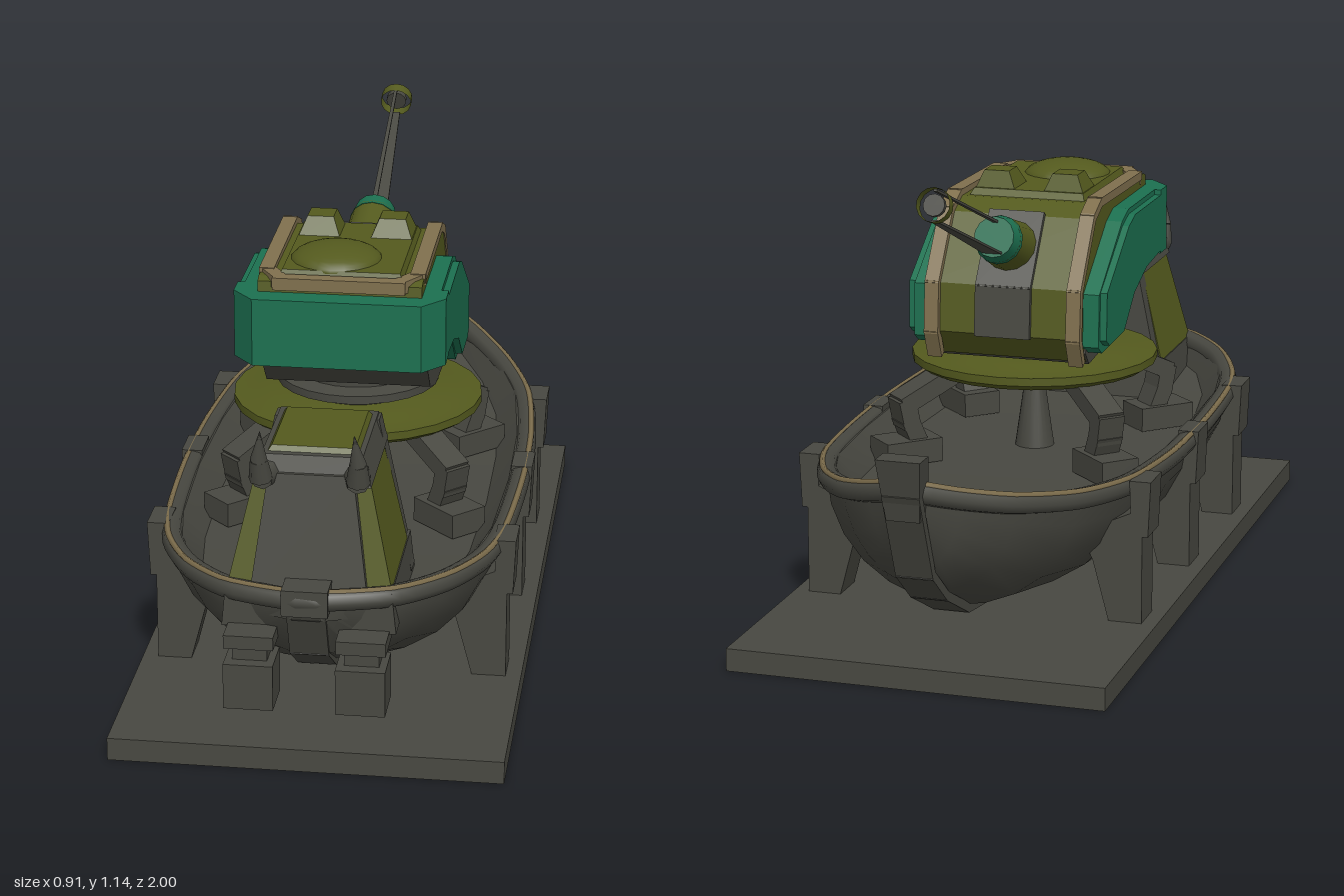
import * as THREE from 'three';
import { toCreasedNormals } from 'three/addons/utils/BufferGeometryUtils.js';

export function createModel() {
  const root = new THREE.Group();
  root.name = 'gunBoat';
  const material = (name, color) => {
    const m = new THREE.MeshStandardMaterial({ color, side: THREE.DoubleSide });
    m.name = name;
    return m;
  };
  const grey = material('dark grey', 0x484841);
  const olive = material('olive', 0x545a1e);
  const green = material('teal green', 0x1c7050);
  const tan = material('tan', 0x80704e);
  const V = (x, y, z) => new THREE.Vector3(x, y, z);

  const add = (name, geo, mat) => {
    const m = new THREE.Mesh(geo, mat);
    m.name = name;
    root.add(m);
    return m;
  };
  // box given by its limits
  const box = (name, mat, x0, x1, y0, y1, z0, z1) =>
    add(name, new THREE.BoxGeometry(x1 - x0, y1 - y0, z1 - z0), mat)
      .position.set((x0 + x1) / 2, (y0 + y1) / 2, (z0 + z1) / 2);
  // box with different bottom and top rectangles [halfWidth, z0, z1]
  const taperBox = (name, mat, y0, bottom, y1, top, cx = 0) => {
    const g = new THREE.BoxGeometry(1, 1, 1), p = g.attributes.position;
    for (let i = 0; i < p.count; i++) {
      const up = p.getY(i) > 0, r = up ? top : bottom;
      p.setXYZ(i, cx + 2 * p.getX(i) * r[0], up ? y1 : y0, p.getZ(i) > 0 ? r[2] : r[1]);
    }
    g.computeVertexNormals();
    return add(name, g, mat);
  };
  // rectangular bar between two points
  const beam = (name, mat, a, b, w, h) => {
    const m = add(name, new THREE.BoxGeometry(w, h, a.distanceTo(b) + h * 0.5), mat);
    m.position.copy(a).lerp(b, 0.5);
    m.lookAt(b);
    return m;
  };
  const bars = (name, mat, pts, w, h) => {
    for (let i = 1; i < pts.length; i++) beam(name, mat, pts[i - 1], pts[i], w, h);
  };
  // round bar between two points
  const rod = (name, mat, a, b, ra, rb, sides = 12, open = false) => {
    const m = add(name, new THREE.CylinderGeometry(rb, ra, a.distanceTo(b), sides, 1, open), mat);
    m.position.copy(a).lerp(b, 0.5);
    m.quaternion.setFromUnitVectors(V(0, 1, 0), b.clone().sub(a).normalize());
    return m;
  };
  const shapeOf = (pts) => new THREE.Shape(pts.map((p) => new THREE.Vector2(p[0], p[1])));
  // side profile of [z, y] points pushed from x0 to x1
  const profileX = (name, mat, pts, x0, x1) => {
    const g = new THREE.ExtrudeGeometry(shapeOf(pts), { depth: x1 - x0, bevelEnabled: false });
    return add(name, g.rotateY(-Math.PI / 2).translate(x1, 0, 0), mat);
  };

  // ---- base and cradle legs
  box('basePlate', grey, -0.457, 0.457, 0, 0.055, -0.91, 1);
  for (const z of [0.51, 0.05, -0.41]) for (const s of [1, -1]) {
    const leg = shapeOf([[0.42, 0.05], [0.34, 0.05], [0.3, 0.2], [0.27, 0.27], [0.4, 0.33], [0.42, 0.33]]
      .map(([x, y]) => [x * s, y]));
    add('cradleLeg', new THREE.ExtrudeGeometry(leg, { depth: 0.1, bevelEnabled: false }), grey).position.z = z - 0.05;
    const cap = taperBox('cradleClamp', grey, 0.27, [0.02, z - 0.05, z + 0.05], 0.405, [0.026, z - 0.05, z + 0.05], 0.414 * s);
    cap.name = 'cradleClamp';
  }

  // ---- hull from cross-sections [z, half width, rim height, keel height]
  const stations = [
    [-0.95, 0.02, 0.5, 0.42], [-0.88, 0.11, 0.47, 0.28], [-0.78, 0.21, 0.44, 0.2], [-0.62, 0.31, 0.412, 0.115],
    [-0.42, 0.38, 0.397, 0.085], [-0.15, 0.41, 0.39, 0.075], [0.15, 0.415, 0.39, 0.072], [0.45, 0.4, 0.39, 0.08],
    [0.62, 0.37, 0.395, 0.105], [0.78, 0.3, 0.408, 0.18], [0.9, 0.19, 0.418, 0.25], [0.96, 0.04, 0.425, 0.37],
  ];
  const pos = [], idx = [], N = 12;
  const ringSize = N + 5;
  stations.forEach(([z, w, r, k], i) => {
    for (let j = 0; j <= N; j++) {
      const t = Math.PI * j / N;
      pos.push(w * Math.cos(t), r - (r - k) * Math.sin(t), z);
    }
    for (const [f, d] of [[-0.93, 0], [-0.8, 0.065], [0.8, 0.065], [0.93, 0]]) pos.push(f * w, r - d, z);
    if (i) for (let j = 0; j < ringSize; j++) {
      const a = (i - 1) * ringSize + j, b = (i - 1) * ringSize + (j + 1) % ringSize;
      idx.push(a, a + ringSize, b, b, a + ringSize, b + ringSize);
    }
  });
  const hull = new THREE.BufferGeometry();
  hull.setAttribute('position', new THREE.Float32BufferAttribute(pos, 3));
  hull.setIndex(idx);
  add('hull', toCreasedNormals(hull, 0.6), grey);

  // rim with its thin tan rope
  const rimCurve = (grow, lift) => new THREE.CatmullRomCurve3([
    ...stations.map(([z, w, r]) => V(w + grow, r + lift, z)),
    ...stations.slice().reverse().map(([z, w, r]) => V(-w - grow, r + lift, z)),
  ], true, 'catmullrom', 0.4);
  add('rim', new THREE.TubeGeometry(rimCurve(-0.006, -0.012), 120, 0.026, 8, true), grey);
  add('rimRope', new THREE.TubeGeometry(rimCurve(0.006, 0.008), 120, 0.008, 5, true), tan);

  // keel and end posts
  bars('keel', grey, [[0.48, -0.97], [0.27, -0.88], [0.19, -0.78], [0.11, -0.62], [0.083, -0.42], [0.075, 0.1],
    [0.085, 0.45], [0.105, 0.62], [0.18, 0.78], [0.26, 0.9], [0.41, 0.965]].map(([y, z]) => V(0, y, z)), 0.09, 0.022);
  taperBox('bowPost', grey, 0.42, [0.04, -0.965, -0.9], 0.57, [0.053, -1, -0.94]);
  box('sternPost', grey, -0.053, 0.053, 0.38, 0.443, 0.91, 0.985);

  // ---- stern engines
  for (const s of [1, -1]) {
    const x = 0.128 * s;
    box('engineBox', grey, x - 0.057, x + 0.057, 0.15, 0.26, 0.89, 1);
    box('engineNeck', grey, x - 0.04, x + 0.04, 0.255, 0.3, 0.89, 0.97);
    box('engineBracket', grey, x - 0.057, x + 0.057, 0.295, 0.327, 0.82, 0.99);
    rod('propellerShaft', grey, V(x, 0.18, 0.9), V(x, 0.18, 0.83), 0.018, 0.012);
    for (let i = 0; i < 3; i++) {
      const a = i * Math.PI * 2 / 3 + 0.5;
      beam('propellerBlade', grey, V(x, 0.18, 0.85), V(x + 0.045 * Math.cos(a), 0.18 + 0.045 * Math.sin(a), 0.85), 0.02, 0.008);
    }
  }

  // ---- wheelhouse
  taperBox('cabinFooting', grey, 0.32, [0.2, 0.55, 0.92], 0.42, [0.19, 0.555, 0.92]);
  taperBox('cabinSides', olive, 0.4, [0.192, 0.6, 0.905], 0.68, [0.128, 0.6, 0.845]);
  taperBox('cabinFrame', grey, 0.34, [0.2, 0.555, 0.615], 0.715, [0.122, 0.56, 0.61]);
  taperBox('cabinFace', grey, 0.4, [0.135, 0.85, 0.922], 0.68, [0.097, 0.8, 0.872]);
  taperBox('roofFrame', grey, 0.655, [0.137, 0.56, 0.872], 0.718, [0.115, 0.56, 0.85]);
  taperBox('roofPanel', olive, 0.715, [0.105, 0.58, 0.835], 0.73, [0.095, 0.59, 0.825]);
  for (const s of [1, -1]) {
    const pts = [V(0.1 * s, 0.675, 0.84), V(0.11 * s, 0.675, 0.89), V(0.112 * s, 0.725, 0.905), V(0.106 * s, 0.8, 0.925)];
    const radii = [0.032, 0.028, 0.02, 0.001];
    for (let i = 0; i < 3; i++) rod('cabinHorn', grey, pts[i], pts[i + 1], radii[i], radii[i + 1], 8);
  }

  // ---- turntable on four bent struts
  const cz = 0.055;
  const lathe = (name, mat, pts) => add(name, toCreasedNormals(new THREE.LatheGeometry(
    pts.map(([r, y]) => new THREE.Vector2(r, y)), 24), 0.6), mat).position.z = cz;
  lathe('turntable', olive, [[0, 0.525], [0.2, 0.525], [0.285, 0.54], [0.308, 0.555], [0.308, 0.575], [0.25, 0.577], [0.22, 0.585], [0, 0.585]]);
  lathe('turntableNeck', grey, [[0.14, 0.58], [0.14, 0.605], [0.2, 0.61], [0.2, 0.63], [0.15, 0.635], [0.15, 0.66], [0, 0.66]]);
  lathe('centrePost', grey, [[0.05, 0.32], [0.02, 0.53]]);
  for (const sx of [1, -1]) for (const sz of [1, -1]) {
    const at = (r, y) => V(sx * r * 0.71, y, cz + sz * r * 0.7);
    bars('turretStrut', grey, [at(0.24, 0.54), at(0.37, 0.48), at(0.36, 0.43), at(0.33, 0.36)], 0.07, 0.045);
    const foot = add('strutFoot', new THREE.BoxGeometry(0.1, 0.06, 0.15), grey);
    foot.position.copy(at(0.36, 0.36));
    foot.rotation.y = sx * sz * Math.PI / 4;
  }

  // ---- turret
  profileX('turretBody', olive, [[0.39, 0.965], [0.41, 0.8], [0.3, 0.755], [0.2, 0.73], [0.1, 0.64], [-0.16, 0.605],
    [-0.212, 0.67], [-0.203, 0.79], [-0.09, 0.945], [-0.03, 0.972], [0.37, 0.972]], -0.195, 0.195);
  profileX('turretUnderbody', grey, [[0.34, 0.765], [0.24, 0.66], [0.12, 0.62], [-0.15, 0.598], [-0.18, 0.63], [-0.16, 0.75]], -0.2, 0.2);
  const front = [[0.61, -0.19], [0.67, -0.217], [0.79, -0.208], [0.95, -0.093], [0.977, -0.03]];
  for (const s of [1, -1]) {
    bars('trimBand', tan, [...front, [0.972, 0.34]].map(([y, z]) => V(0.18 * s, y, z)), 0.036, 0.022);
    beam('trimBand', tan, V(0.18 * s, 0.966, 0.33), V(0.14 * s, 0.966, 0.395), 0.034, 0.03);
    // green side armour with a sloped outer face
    const side = [[0.4, 0.785], [0.4, 0.94], [0.08, 0.94], [0.02, 0.92], [-0.185, 0.78], [-0.19, 0.65], [-0.16, 0.63],
      [-0.02, 0.635], [0.08, 0.72], [0.2, 0.765]];
    profileX('sideArmour', green, side, s > 0 ? 0.19 : -0.235, s > 0 ? 0.235 : -0.19);
    profileX('sideArmourFace', green, side.map(([z, y]) => [0.1 + (z - 0.1) * 0.96, 0.81 + (y - 0.81) * 0.9]),
      s > 0 ? 0.23 : -0.252, s > 0 ? 0.252 : -0.23);
  }
  beam('trimBand', tan, V(-0.15, 0.966, 0.395), V(0.15, 0.966, 0.395), 0.034, 0.03);
  const rear = shapeOf([[-0.252, 0.33], [-0.252, 0.39], [-0.2, 0.452], [0.2, 0.452], [0.252, 0.39], [0.252, 0.33]]);
  add('rearArmour', new THREE.ExtrudeGeometry(rear, { depth: 0.165, bevelEnabled: false })
    .rotateX(Math.PI / 2).translate(0, 0.94, 0), green);
  bars('frontPanel', grey, front.slice(1, 4).map(([y, z]) => V(0, y, z)), 0.14, 0.016);

  // roof hatches and cupola
  taperBox('turretRoof', olive, 0.965, [0.15, -0.02, 0.375], 0.988, [0.14, 0, 0.365]);
  for (const s of [1, -1]) taperBox('roofHatch', olive, 0.98, [0.053, 0.005, 0.115], 1.03, [0.032, 0.02, 0.085], 0.088 * s);
  const dome = add('cupola', new THREE.SphereGeometry(0.11, 20, 8, 0, Math.PI * 2, 0, Math.PI / 2), olive);
  dome.position.set(-0.025, 0.982, 0.26);
  dome.scale.y = 0.36;

  // ---- gun: mantlet, sleeve, two barrel rails and muzzle ring
  const axis = (t, up = 0) => V(0, 0.925 + 0.17 * t + up * 0.94, -0.27 - 0.455 * t - up * -0.05);
  rod('gunMantlet', olive, axis(-0.42), axis(-0.04), 0.07, 0.058, 14);
  rod('gunSleeve', green, axis(-0.06), axis(0.03), 0.06, 0.05, 14);
  const rail = (name, up, w0, w1) => {
    const m = beam(name, grey, axis(0, up), axis(0.99, up * 0.9), 1, 0.006);
    const p = m.geometry.attributes.position;
    for (let i = 0; i < p.count; i++) p.setX(i, p.getX(i) * (p.getZ(i) > 0 ? w1 : w0));
  };
  rail('upperBarrelRail', 0.042, 0.012, 0.008);
  rail('lowerBarrelRail', -0.042, 0.05, 0.018);
  rod('muzzleRing', olive, axis(0.97), axis(1.03), 0.04, 0.04, 14, true);
  rod('muzzleCore', grey, axis(0.985), axis(1.015), 0.026, 0.026, 12);

  return root;
}
